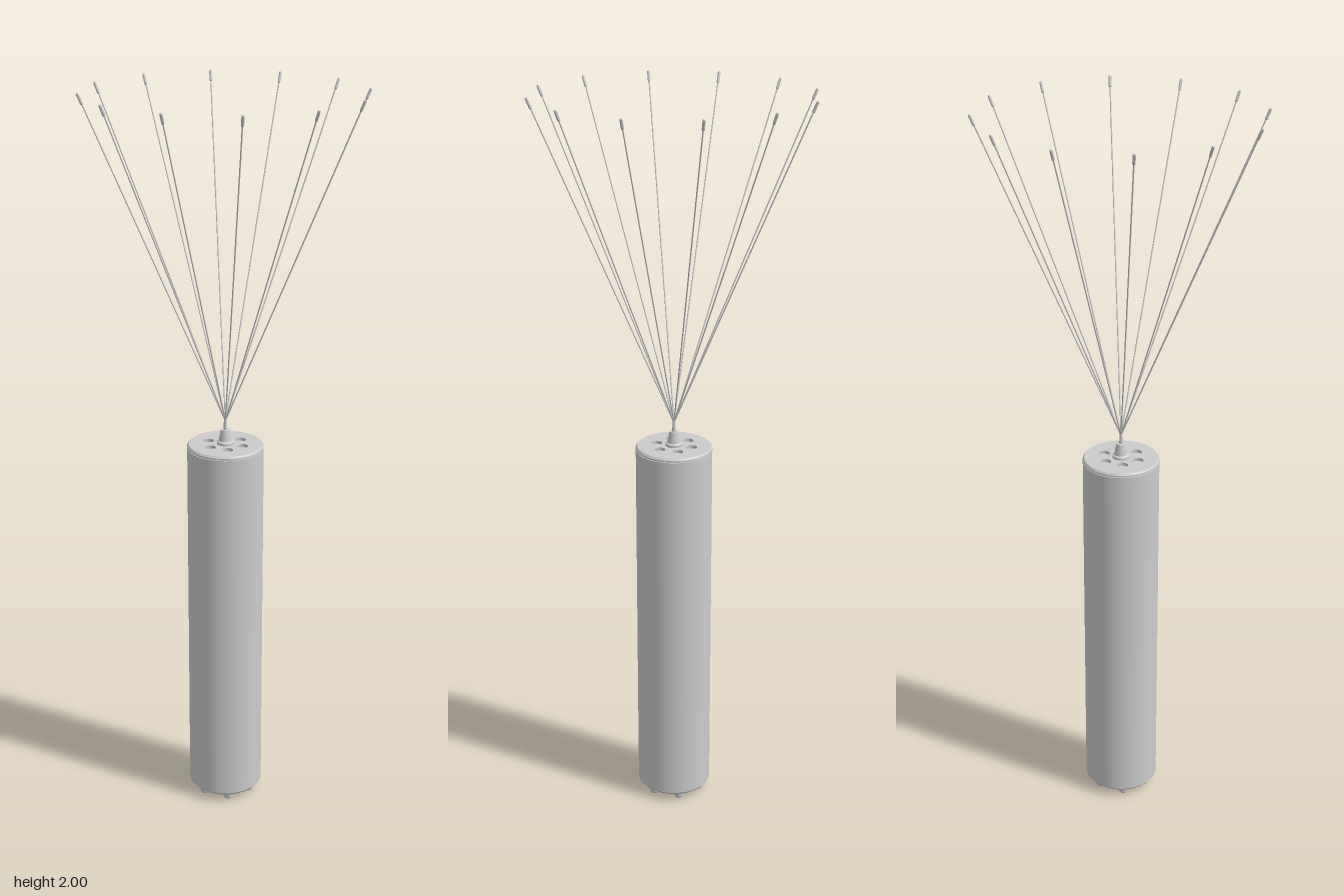
import * as THREE from 'three';

const R = 0.103;
const grey = new THREE.MeshStandardMaterial({ color: 0xcccccc });
const thin = new THREE.MeshStandardMaterial({ color: 0xcccccc, side: THREE.DoubleSide });

function add(parent, name, geometry, material = grey) {
  const mesh = new THREE.Mesh(geometry, material);
  mesh.name = name;
  parent.add(mesh);
  return mesh;
}

// Lathe of straight segments, each with its own points so that edges stay sharp
function turned(parent, name, points, sides = 48) {
  const group = new THREE.Group();
  group.name = name;
  for (let i = 0; i < points.length - 1; i++) {
    const pair = [points[i], points[i + 1]].map(([x, y]) => new THREE.Vector2(x, y));
    add(group, name + 'Section', new THREE.LatheGeometry(pair, sides));
  }
  parent.add(group);
  return group;
}

// Calls place(x, z, angle) for evenly spaced spots on a ring
function ring(count, radius, place) {
  for (let i = 0; i < count; i++) {
    const a = (i / count) * Math.PI * 2;
    place(Math.cos(a) * radius, Math.sin(a) * radius, a);
  }
}

export function createModel() {
  const model = new THREE.Group();
  model.name = 'canisterWithWhiskers';

  // Main tube with chamfered lower edge and a shallow seam under the lid
  turned(model, 'body', [
    [0, 0.022], [0.096, 0.022], [R, 0.03], [R, 1.054], [0.1, 1.054], [0.1, 1.056], [0, 1.056],
  ], 64);

  // Lid with six round recesses
  const lidShape = new THREE.Shape().absarc(0, 0, 0.099, 0, Math.PI * 2);
  ring(6, 0.05, (x, z) => {
    lidShape.holes.push(new THREE.Path().absarc(x, z, 0.015, 0, Math.PI * 2, true));
  });
  const lidGeo = new THREE.ExtrudeGeometry(lidShape, { depth: 0.009, bevelEnabled: false, curveSegments: 32 });
  lidGeo.rotateX(-Math.PI / 2);
  add(model, 'lid', lidGeo).position.y = 1.056;
  turned(model, 'lidRim', [[0.1, 1.056], [R, 1.056], [R, 1.06], [0.099, 1.065]], 64);

  // Name plate lying flush on the front of the tube
  const plate = new THREE.CylinderGeometry(R + 0.0008, R + 0.0008, 0.03, 16, 1, true, -0.46, 0.92);
  add(model, 'frontPlate', plate, thin).position.y = 0.37;

  // Feet and base boss
  ring(6, 0.073, (x, z) => {
    turned(model, 'foot', [[0, 0], [0.011, 0], [0.013, 0.004], [0.016, 0.023]], 24).position.set(x, 0, z);
  });
  turned(model, 'baseBoss', [[0, 0.016], [0.018, 0.016], [0.02, 0.023]], 32);

  // Stepped whisker socket
  turned(model, 'socket', [
    [0.023, 1.064], [0.023, 1.071], [0.018, 1.075], [0.012, 1.105], [0.005, 1.105], [0.004, 1.14], [0, 1.14],
  ], 32);

  // Twelve splayed whiskers, each with a thicker tip
  const start = new THREE.Vector3(0, 1.13, 0);
  const up = new THREE.Vector3(0, 1, 0);
  ring(12, 0.366, (x, z) => {
    const along = new THREE.Vector3(x, 1.998, z).sub(start);
    const length = along.length();
    const whisker = new THREE.Group();
    whisker.name = 'whisker';
    whisker.position.copy(start);
    whisker.quaternion.setFromUnitVectors(up, along.normalize());
    add(whisker, 'rod', new THREE.CylinderGeometry(0.0018, 0.0018, length, 10)).position.y = length / 2;
    add(whisker, 'tip', new THREE.CapsuleGeometry(0.0038, 0.024, 4, 12)).position.y = length - 0.015;
    model.add(whisker);
  });

  return model;
}
